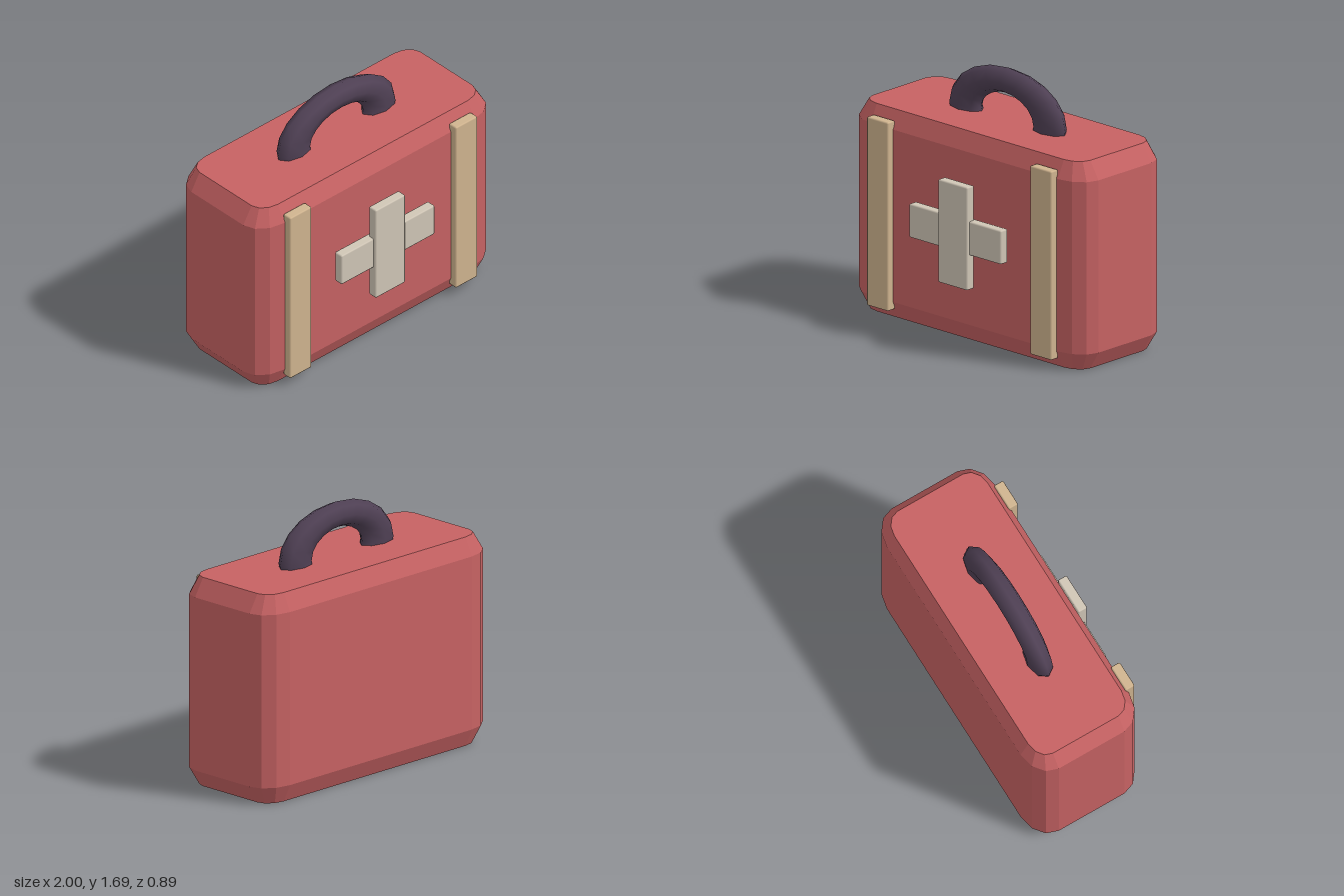
import * as THREE from 'three';
import { RoundedBoxGeometry } from 'three/addons/geometries/RoundedBoxGeometry.js';

const material = (name, color, flatShading = false) => {
  const m = new THREE.MeshStandardMaterial({ color, flatShading });
  m.name = name;
  return m;
};

// Outline with elliptical corners of three segments, seen from above
function ring(y, rx, rz) {
  const points = [];
  const cx = 0.8, cz = 0.237, midZ = -0.053;
  for (let q = 0; q < 4; q++) {
    const sx = q === 0 || q === 3 ? 1 : -1;
    const sz = q < 2 ? 1 : -1;
    for (let i = 0; i <= 3; i++) {
      const a = (q + i / 3) * Math.PI / 2;
      points.push([sx * cx + rx * Math.cos(a), y, midZ + sz * cz + rz * Math.sin(a)]);
    }
  }
  return points;
}

// Case: four stacked outlines, closed at the top and bottom
function caseGeometry() {
  const rings = [ring(0, 0.13, 0.1), ring(0.117, 0.2, 0.155), ring(1.24, 0.2, 0.155), ring(1.355, 0.13, 0.1)];
  const n = rings[0].length;
  const positions = [];
  const tri = (a, b, c) => positions.push(...a, ...b, ...c);
  for (let r = 0; r < rings.length - 1; r++) {
    for (let i = 0; i < n; i++) {
      const j = (i + 1) % n;
      const a = rings[r][i], b = rings[r][j], c = rings[r + 1][j], d = rings[r + 1][i];
      tri(a, d, c);
      tri(a, c, b);
    }
  }
  const bottom = rings[0], top = rings[3];
  for (let i = 1; i < n - 1; i++) {
    tri(bottom[0], bottom[i], bottom[i + 1]);
    tri(top[0], top[i + 1], top[i]);
  }
  const geometry = new THREE.BufferGeometry();
  geometry.setAttribute('position', new THREE.Float32BufferAttribute(positions, 3));
  geometry.computeVertexNormals();
  return geometry;
}

export function createModel() {
  const group = new THREE.Group();
  group.name = 'firstAidCase';
  const red = material('case red', 0xc66263, true);
  const tan = material('strap tan', 0xd0b48f);
  const cream = material('cross cream', 0xd0c6b6);
  const purple = material('handle dark purple', 0x4f4054);

  const add = (name, geometry, mat) => {
    const mesh = new THREE.Mesh(geometry, mat);
    mesh.name = name;
    group.add(mesh);
    return mesh;
  };
  const bar = (name, mat, x, y, z, w, h, d) =>
    add(name, new RoundedBoxGeometry(w, h, d, 1, 0.01), mat).position.set(x, y, z);

  add('case', caseGeometry(), red);

  // Handle: flattened arch whose ends sink into the lid
  const arch = new THREE.TorusGeometry(0.36, 0.13, 8, 12, Math.PI * 1.2);
  arch.rotateZ(-Math.PI * 0.1);
  const handle = add('handle', arch, purple);
  handle.scale.set(1, 0.635, 0.577);
  handle.position.set(0, 1.379, -0.053);

  // Straps on the front
  bar('rightStrap', tan, -0.7, 0.68, 0.353, 0.182, 1.23, 0.066);
  bar('leftStrap', tan, 0.696, 0.68, 0.353, 0.182, 1.23, 0.066);

  // Cross on the front
  bar('crossHorizontal', cream, 0, 0.718, 0.392, 0.786, 0.22, 0.064);
  bar('crossVertical', cream, 0, 0.718, 0.413, 0.25, 0.672, 0.064);

  return group;
}
